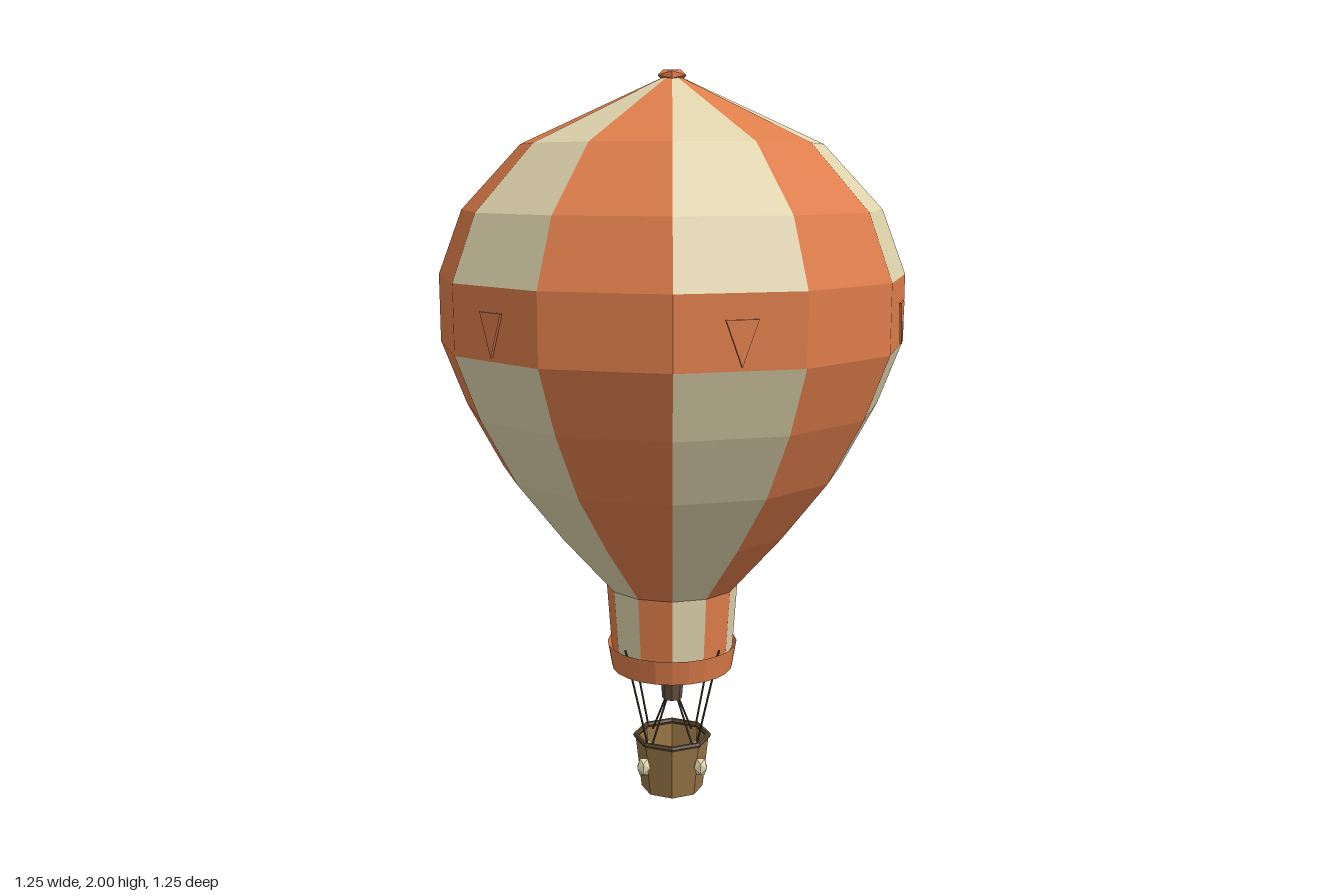
import * as THREE from 'three';
import { mergeGeometries } from 'three/addons/utils/BufferGeometryUtils.js';

export function createModel() {
  const model = new THREE.Group();
  model.name = 'hotAirBalloon';

  const mat = (name, color) => {
    const m = new THREE.MeshStandardMaterial({ color, flatShading: true, side: THREE.DoubleSide });
    m.name = name;
    return m;
  };
  const orange = mat('orange fabric', 0xde7d4b);
  const cream = mat('cream fabric', 0xe0d4ad);
  const wicker = mat('wicker brown', 0x957445);
  const darkWood = mat('dark rim', 0x5a4530);
  const metal = mat('burner metal', 0x62503f);
  const rope = mat('rope', 0x4c4230);

  const add = (name, geometry, material, x = 0, y = 0, z = 0, parent = model) => {
    const mesh = new THREE.Mesh(geometry, material);
    mesh.name = name;
    mesh.position.set(x, y, z);
    parent.add(mesh);
    return mesh;
  };

  // Envelope: twelve flat gores, alternating colours, with a full orange belt
  const GORES = 12, STEP = Math.PI * 2 / GORES;
  const lower = [[0.17, 0.42], [0.183, 0.61], [0.335, 0.78], [0.465, 0.945], [0.56, 1.12], [0.625, 1.29]];
  const belt = [[0.625, 1.29], [0.625, 1.47]];
  const upper = [[0.625, 1.47], [0.56, 1.64], [0.4, 1.81], [0.025, 1.98]];
  const gore = (profile, k) => new THREE.LatheGeometry(
    profile.map(([r, y]) => new THREE.Vector2(r, y)), 1, k * STEP, STEP);
  const gores = (profile, start, step) => {
    const list = [];
    for (let k = start; k < GORES; k += step) list.push(gore(profile, k));
    return mergeGeometries(list);
  };
  add('lowerCreamGores', gores(lower, 0, 2), cream);
  add('lowerOrangeGores', gores(lower, 1, 2), orange);
  add('belt', gores(belt, 0, 1), orange);
  add('upperCreamGores', gores(upper, 0, 2), cream);
  add('upperOrangeGores', gores(upper, 1, 2), orange);

  // Small pennants hanging just off every second belt panel
  const triangle = new THREE.Shape([
    new THREE.Vector2(-0.04, 0.055), new THREE.Vector2(0, -0.055), new THREE.Vector2(0.04, 0.055)]);
  const pennantGeo = new THREE.ExtrudeGeometry(triangle, { depth: 0.006, bevelEnabled: false });
  for (let k = 0; k < GORES; k += 2) {
    const a = (k + 0.5) * STEP;
    add('pennant', pennantGeo, orange, Math.sin(a) * 0.61, 1.355, Math.cos(a) * 0.61).rotation.y = a;
  }

  // Crown cap
  add('crownCap', new THREE.IcosahedronGeometry(0.043, 0), orange, 0, 1.985, 0).scale.y = 0.41;

  // Skirt ring round the mouth
  add('skirtRing', new THREE.CylinderGeometry(0.182, 0.17, 0.07, 24, 1, true), orange, 0, 0.405, 0);

  // Burner and flame
  add('burner', new THREE.CylinderGeometry(0.032, 0.028, 0.05, 8), metal, 0, 0.293, 0);
  add('flame', new THREE.LatheGeometry([
    new THREE.Vector2(0.018, 0.315), new THREE.Vector2(0.033, 0.37), new THREE.Vector2(0, 0.46)], 6), cream);

  // Basket: open tub, floor and padded rim
  const basket = new THREE.Group();
  basket.name = 'basket';
  model.add(basket);
  add('basketWall', new THREE.CylinderGeometry(0.105, 0.088, 0.155, 8, 1, true), wicker, 0, 0.0775, 0, basket);
  add('basketFloor', new THREE.CylinderGeometry(0.088, 0.088, 0.008, 8), wicker, 0, 0.004, 0, basket);
  add('basketRim', new THREE.TorusGeometry(0.104, 0.008, 6, 8), darkWood, 0, 0.155, 0, basket)
    .rotation.x = Math.PI / 2;

  // Ropes, burner struts and sandbags on the four diagonals
  const bar = (name, from, to, radius, material) => {
    const dir = to.clone().sub(from);
    const mesh = add(name, new THREE.CylinderGeometry(radius, radius, dir.length(), 5), material);
    mesh.position.copy(from).add(to).multiplyScalar(0.5);
    mesh.quaternion.setFromUnitVectors(new THREE.Vector3(0, 1, 0), dir.normalize());
  };
  const bagGeo = new THREE.IcosahedronGeometry(0.021, 0);
  for (const sx of [-1, 1]) for (const sz of [-1, 1]) {
    const at = (d, y) => new THREE.Vector3(sx * d, y, sz * d);
    bar('suspensionRope', at(0.068, 0.15), at(0.128, 0.455), 0.003, rope);
    bar('burnerStrut', at(0.056, 0.15), at(0.012, 0.28), 0.003, rope);
    add('sandbag', bagGeo, cream, sx * 0.08, 0.092, sz * 0.08, basket).scale.y = 1.4;
  }
  return model;
}
